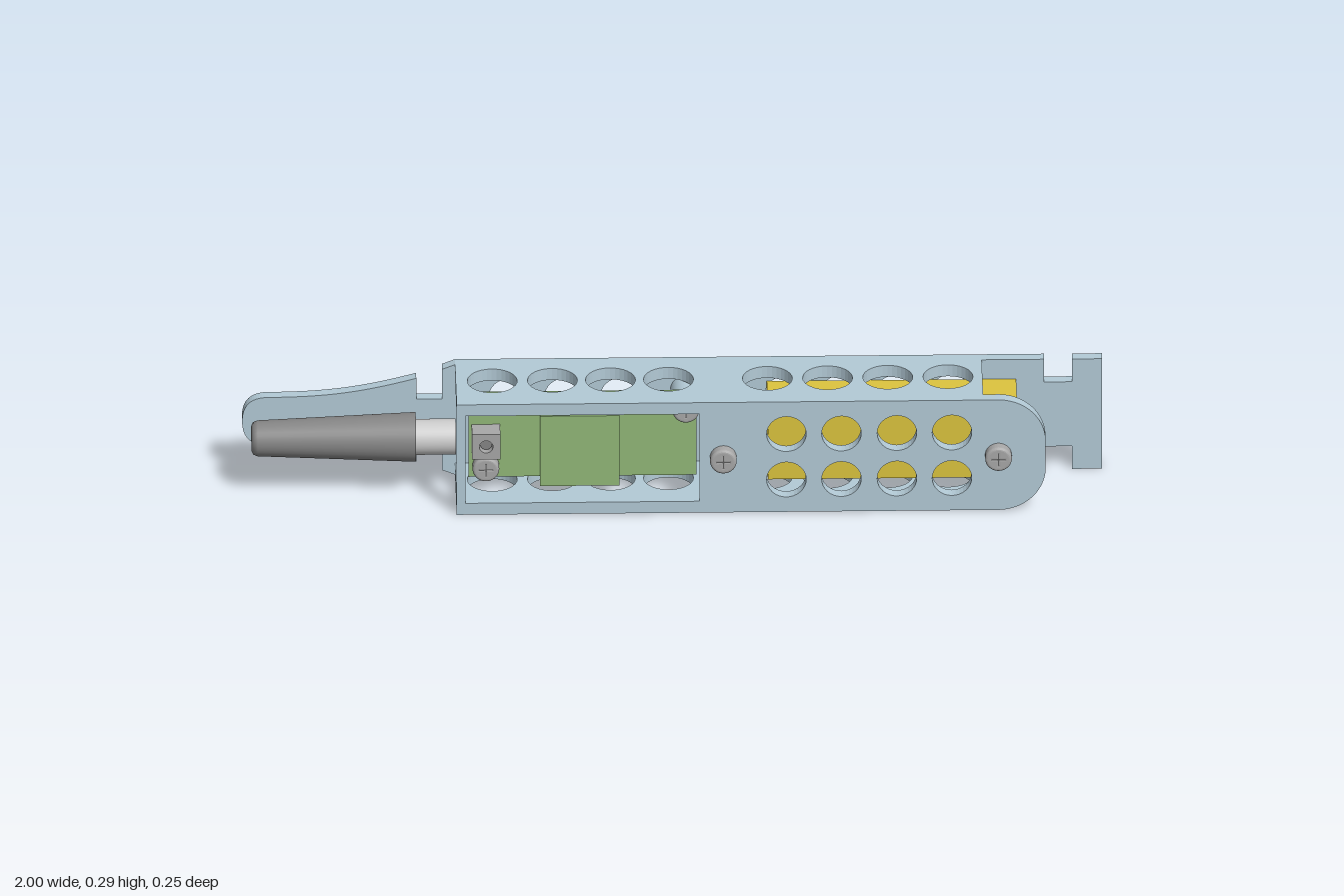
import * as THREE from 'three';

const mat = (color) => new THREE.MeshStandardMaterial({ color });
const blue = mat(0xb3cad6), yellow = mat(0xdcc43e), green = mat(0x92b878);
const grey = mat(0xcccccc), dark = mat(0x858585), steel = mat(0xa8a8a8);
const MID = 0.145, H = 0.29;

export function createModel() {
  const group = new THREE.Group();

  const add = (name, geo, material, x = 0, y = 0, z = 0) => {
    const mesh = new THREE.Mesh(geo, material);
    mesh.name = name;
    mesh.position.set(x, y, z);
    group.add(mesh);
    return mesh;
  };
  const box = (name, material, x0, x1, y0, y1, z0, z1) =>
    add(name, new THREE.BoxGeometry(x1 - x0, y1 - y0, z1 - z0), material, (x0 + x1) / 2, (y0 + y1) / 2, (z0 + z1) / 2);
  const rod = (name, material, r, x, y, z0, z1) =>
    add(name, new THREE.CylinderGeometry(r, r, z1 - z0, 32).rotateX(Math.PI / 2), material, x, y, (z0 + z1) / 2);
  const extrude = (shape, depth) =>
    new THREE.ExtrudeGeometry(shape, { depth, bevelEnabled: false, curveSegments: 16 });
  const polygon = (points) => new THREE.Shape(points.map(([x, y]) => new THREE.Vector2(x, y)));
  const hole = (shape, x, y, r) => shape.holes.push(new THREE.Path().absarc(x, y, r, 0, Math.PI * 2, true));

  const gridX = [0.262, 0.39, 0.519, 0.647], gridY = [0.085, 0.205];
  const gridHoles = (shape) => gridX.forEach((x) => gridY.forEach((y) => hole(shape, x, y, 0.046)));

  // Back plate: handle tongue at one end, notched tab at the other
  const back = new THREE.Shape();
  back.moveTo(-0.94, 0.082);
  back.bezierCurveTo(-0.8, 0.082, -0.72, 0.07, -0.595, 0.035);
  [[-0.595, 0.09], [-0.535, 0.09], [-0.535, 0.012], [-0.505, 0], [0.865, 0], [0.865, 0.06], [0.93, 0.06], [0.93, 0], [1, 0],
    [1, H], [0.93, H], [0.93, 0.23], [0.865, 0.23], [0.865, H], [-0.505, H], [-0.535, 0.278], [-0.535, 0.2], [-0.595, 0.2],
    [-0.595, 0.255]].forEach(([x, y]) => back.lineTo(x, y));
  back.bezierCurveTo(-0.72, 0.22, -0.8, 0.208, -0.94, 0.208);
  back.quadraticCurveTo(-1, 0.208, -1, MID);
  back.quadraticCurveTo(-1, 0.082, -0.94, 0.082);
  gridHoles(back);
  [[-0.38, 0.205], [-0.25, 0.205], [-0.12, 0.205], [-0.25, 0.085], [-0.12, 0.085], [0.005, 0.085]]
    .forEach(([x, y]) => hole(back, x, y, 0.046));
  const boardScrews = [[0.03, 0.22], [-0.435, 0.07]];
  boardScrews.forEach(([x, y]) => hole(back, x, y, 0.015));
  add('backPlate', extrude(back, 0.027), blue, 0, 0, -0.125);

  // Front plate: rounded end, window and perforations
  const front = new THREE.Shape();
  front.moveTo(-0.505, 0);
  front.lineTo(0.755, 0);
  front.absarc(0.755, 0.11, 0.11, -Math.PI / 2, 0, false);
  front.absarc(0.755, 0.18, 0.11, 0, Math.PI / 2, false);
  front.lineTo(-0.505, H);
  front.closePath();
  front.holes.push(polygon([[-0.484, 0.03], [-0.484, 0.26], [0.06, 0.26], [0.06, 0.03]]));
  gridHoles(front);
  add('frontPlate', extrude(front, 0.028), blue, 0, 0, 0.072);

  // Perforated top and bottom walls
  const wall = polygon([[-0.505, -0.072], [0.72, -0.072], [0.72, 0.098], [-0.505, 0.098]]);
  [-0.42, -0.28, -0.145, -0.01, 0.22, 0.36, 0.5, 0.64].forEach((x) => hole(wall, x, 0.017, 0.058));
  const wallGeo = extrude(wall, 0.03).rotateX(-Math.PI / 2);
  add('bottomWall', wallGeo, blue);
  add('topWall', wallGeo, blue, 0, 0.26);

  // Inner rib and spacer posts joining the plates
  box('innerRib', blue, 0.09, 0.14, 0.03, 0.26, -0.098, -0.012);
  const plateScrews = [0.115, 0.755];
  plateScrews.forEach((x) => {
    rod('spacerPost', blue, 0.036, x, MID, -0.098, 0.062);
    rod('spacerWasher', blue, 0.049, x, MID, 0.062, 0.072);
  });

  // Yellow block with a slot around the end post
  const block = polygon([[0.22, 0.055], [0.8, 0.055], [0.8, 0.1], [0.71, 0.1], [0.71, 0.19],
    [0.8, 0.19], [0.8, 0.239], [0.22, 0.239]]);
  add('yellowBlock', extrude(block, 0.14), yellow, 0, 0, -0.098);

  // Circuit board, its tall component and standoffs
  box('board', green, -0.475, 0.055, 0.04, 0.255, -0.03, -0.012);
  box('boardComponent', green, -0.31, -0.125, 0.055, 0.239, -0.012, 0.065);
  boardScrews.forEach(([x, y]) => rod('boardStandoff', blue, 0.034, x, y, -0.098, -0.03));

  // Cross-recess screws
  const head = new THREE.Shape().absarc(0, 0, 0.024, 0, Math.PI * 2, false);
  const a = 0.004, b = 0.019;
  head.holes.push(polygon([[a, a], [a, b], [-a, b], [-a, a], [-b, a], [-b, -a],
    [-a, -a], [-a, -b], [a, -b], [a, -a], [b, -a], [b, a]]));
  const headGeo = new THREE.ExtrudeGeometry(head, {
    depth: 0.01, bevelThickness: 0.007, bevelSize: 0.007, bevelOffset: 0, bevelSegments: 4, curveSegments: 24,
  });
  const screw = (x, y, z) => {
    rod('screwBase', steel, 0.031, x, y, z, z + 0.01);
    add('screwHead', headGeo, steel, x, y, z + 0.009);
  };
  plateScrews.forEach((x) => screw(x, MID, 0.1));
  boardScrews.forEach(([x, y]) => {
    screw(x, y, -0.012);
    rod('screwShank', dark, 0.013, x, y, -0.12, -0.03);
  });

  // Cable clamp with a round eye
  const clamp = polygon([[-0.468, 0.112], [-0.402, 0.112], [-0.402, 0.178], [-0.468, 0.178]]);
  hole(clamp, -0.435, MID, 0.016);
  add('cableClamp', extrude(clamp, 0.05), steel, 0, 0, -0.012);
  rod('clampScrew', dark, 0.014, -0.435, MID, -0.012, 0.025);

  // Cable sleeve and tapered boot, lying along x
  const sleeve = new THREE.CylinderGeometry(0.042, 0.042, 0.1, 32).rotateZ(Math.PI / 2);
  add('cableSleeve', sleeve, grey, -0.555, MID, -0.015);
  const profile = [[0, -0.98], [0.03, -0.98], [0.038, -0.976], [0.042, -0.966], [0.058, -0.602], [0.058, -0.598], [0, -0.598]];
  // Repeated points keep the rims crisp
  const crisp = profile.flatMap(([r, x], i) => (i > 3 && i < 6 ? [[r, x], [r, x + 1e-5]] : [[r, x]]));
  const boot = new THREE.LatheGeometry(crisp.map(([r, x]) => new THREE.Vector2(r, x)), 32).rotateZ(-Math.PI / 2);
  add('cableBoot', boot, dark, 0, MID, -0.015);

  return group;
}
